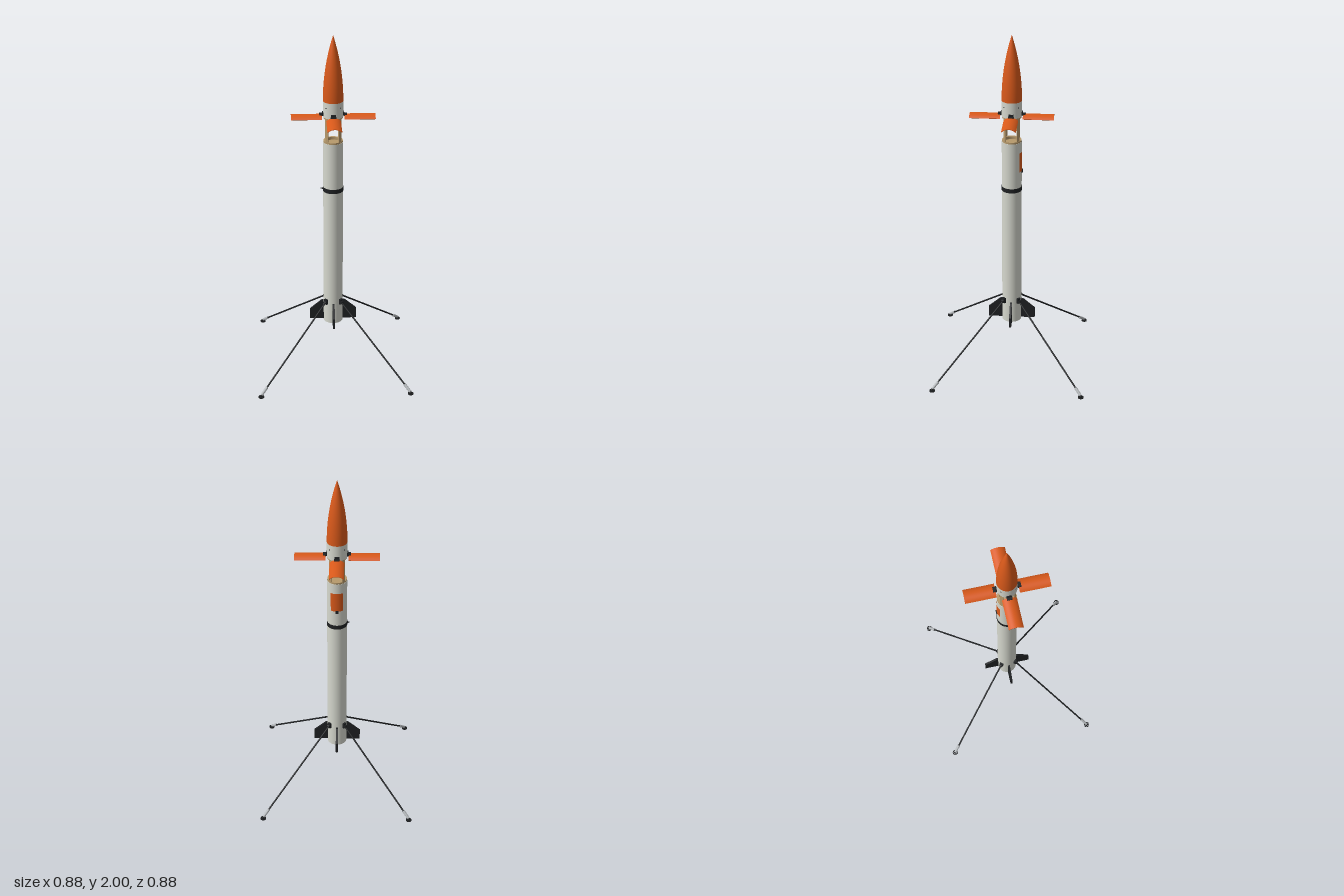
import * as THREE from 'three';

const paint = (color) => new THREE.MeshStandardMaterial({ color, side: THREE.DoubleSide });
const white = paint(0xd6d8ce);
const orange = paint(0xd9591a);
const dark = paint(0x1f2123);
const tan = paint(0xb79a6c);
const metal = paint(0xb4b8bb);
const R = 0.056; // body radius

export function createModel() {
  const rocket = new THREE.Group();
  rocket.name = 'rocket';

  const add = (parent, name, geometry, material, x = 0, y = 0, z = 0) => {
    const mesh = new THREE.Mesh(geometry, material);
    mesh.name = name;
    mesh.position.set(x, y, z);
    parent.add(mesh);
    return mesh;
  };
  // Hollow tube between two heights
  const tube = (name, inner, outer, y0, y1, material) => {
    const profile = [[inner, y0], [outer, y0], [outer, y1], [inner, y1], [inner, y0]];
    // Each straight run is its own lathe so that the rims stay sharp
    const group = new THREE.Group();
    group.name = name;
    for (let i = 0; i < 4; i++) {
      const run = [profile[i], profile[i + 1]].map(([r, y]) => new THREE.Vector2(r, y));
      add(group, name + 'Face', new THREE.LatheGeometry(run, 48), material);
    }
    rocket.add(group);
  };
  // Rod between two points
  const rod = (parent, name, a, b, r0, r1, material) => {
    const dir = b.clone().sub(a);
    const mesh = add(parent, name, new THREE.CylinderGeometry(r1, r0, dir.length(), 14), material);
    mesh.position.copy(a).addScaledVector(dir, 0.5);
    mesh.quaternion.setFromUnitVectors(new THREE.Vector3(0, 1, 0), dir.normalize());
  };
  // Four copies around the axis; the builder works along +x
  const around = (name, offset, build) => {
    for (let i = 0; i < 4; i++) {
      const group = new THREE.Group();
      group.name = name;
      group.rotation.y = offset + i * Math.PI / 2;
      build(group);
      rocket.add(group);
    }
  };

  // Body tube, band and end plates
  tube('bodyTube', R - 0.003, R, 0.26, 1.39, white);
  tube('band', R - 0.001, R + 0.0015, 1.095, 1.12, dark);
  add(rocket, 'tailPlate', new THREE.CylinderGeometry(R - 0.003, R - 0.003, 0.006, 48), dark, 0, 0.275);
  const nozzle = [[0.012, 0.285], [0.012, 0.277], [0.022, 0.262]].map(([r, y]) => new THREE.Vector2(r, y));
  add(rocket, 'nozzle', new THREE.LatheGeometry(nozzle, 32), metal);
  add(rocket, 'bodyBulkhead', new THREE.CylinderGeometry(R - 0.004, R - 0.004, 0.005, 48), tan, 0, 1.378);
  tube('lowerRing', 0.042, R - 0.002, 1.384, 1.4, tan);

  // Nose section: collar, ring and ogive
  tube('collar', R - 0.003, R, 1.54, 1.63, white);
  tube('upperRing', 0.03, R - 0.002, 1.532, 1.542, tan);
  add(rocket, 'noseBulkhead', new THREE.CylinderGeometry(R - 0.004, R - 0.004, 0.004, 48), tan, 0, 1.545);
  const ogive = [];
  const rho = (R * R + 0.37 * 0.37) / (2 * R);
  for (let i = 0; i <= 24; i++) {
    const h = 0.37 * i / 24;
    ogive.push(new THREE.Vector2(Math.max(0, Math.sqrt(rho * rho - h * h) + R - rho), 1.63 + h));
  }
  add(rocket, 'noseCone', new THREE.LatheGeometry(ogive, 48), orange);

  // Struts across the gap, with collar screws
  around('strutBay', Math.PI / 4, (g) => {
    add(g, 'strut', new THREE.BoxGeometry(0.004, 0.15, 0.018), tan, 0.051, 1.463, 0);
    const screw = add(g, 'screw', new THREE.CylinderGeometry(0.003, 0.003, 0.003, 10), dark, R, 1.6, 0);
    screw.rotation.z = Math.PI / 2;
  });

  // Curved petals folded out from the collar, with hinges
  const half = Math.asin(0.04 / R);
  const arc = new THREE.Shape();
  arc.absarc(0, 0, R, Math.PI / 2 - half, Math.PI / 2 + half, false);
  arc.absarc(0, 0, R - 0.003, Math.PI / 2 + half, Math.PI / 2 - half, true);
  const petalGeo = new THREE.ExtrudeGeometry(arc, { depth: 0.17, bevelEnabled: false, curveSegments: 20 });
  around('petal', 0, (g) => {
    add(g, 'petalPanel', petalGeo, orange, 0.062, 1.551 - R, 0).rotation.y = Math.PI / 2;
    add(g, 'hingePlate', new THREE.BoxGeometry(0.02, 0.004, 0.03), dark, 0.066, 1.553, 0);
    add(g, 'hingeBlock', new THREE.BoxGeometry(0.007, 0.02, 0.026), dark, R + 0.001, 1.556, 0);
    const pin = add(g, 'hingePin', new THREE.CylinderGeometry(0.004, 0.004, 0.032, 12), dark, 0.061, 1.55, 0);
    pin.rotation.x = Math.PI / 2;
    const bolt = add(g, 'ringBolt', new THREE.CylinderGeometry(0.003, 0.003, 0.003, 10), dark, R - 0.002, 1.388, 0);
    bolt.rotation.z = Math.PI / 2;
  });

  // Tail fins
  const finShape = new THREE.Shape([[0.053, 0.268], [0.136, 0.268], [0.136, 0.33], [0.066, 0.39], [0.053, 0.39]]
    .map(([x, y]) => new THREE.Vector2(x, y)));
  const finGeo = new THREE.ExtrudeGeometry(finShape, { depth: 0.012, bevelEnabled: false });
  around('fin', 0, (g) => add(g, 'finPlate', finGeo, dark, 0, 0, -0.006));

  // Foot: disc with a ring of holes
  const footShape = new THREE.Shape().absarc(0, 0, 0.016, 0, Math.PI * 2);
  for (let i = 0; i < 6; i++) {
    const a = i * Math.PI / 3;
    footShape.holes.push(new THREE.Path().absarc(0.0102 * Math.cos(a), 0.0102 * Math.sin(a), 0.0033, 0, Math.PI * 2, true));
  }
  const footGeo = new THREE.ExtrudeGeometry(footShape, { depth: 0.006, bevelEnabled: false, curveSegments: 20 });

  // Landing legs on the diagonals
  around('leg', Math.PI / 4, (g) => {
    const top = new THREE.Vector3(0.068, 0.392, 0);
    const end = new THREE.Vector3(0.6, 0.014, 0);
    const joint = top.clone().lerp(end, 0.92);
    rod(g, 'legRod', top, joint, 0.0048, 0.0048, dark);
    rod(g, 'legSleeve', joint, end, 0.0085, 0.0075, metal);
    add(g, 'bracket', new THREE.BoxGeometry(0.014, 0.032, 0.02), dark, 0.06, 0.398, 0);
    const pivot = add(g, 'pivot', new THREE.CylinderGeometry(0.008, 0.008, 0.016, 14), dark, 0.068, 0.395, 0);
    pivot.rotation.x = Math.PI / 2;
    add(g, 'foot', footGeo, dark, 0.602, 0, 0).rotation.set(-Math.PI / 2, 0, 0);
    add(g, 'ankle', new THREE.SphereGeometry(0.007, 14, 10), dark, 0.602, 0.01, 0);
  });

  // Hatch on the back with its latch
  const hatch = new THREE.CylinderGeometry(R + 0.0015, R + 0.0015, 0.115, 20, 1, true, Math.PI - 0.64, 1.28);
  add(rocket, 'hatch', hatch, orange, 0, 1.273, 0);
  add(rocket, 'hatchLatch', new THREE.BoxGeometry(0.018, 0.02, 0.008), dark, 0, 1.211, -R - 0.001);

  // Side knob on the band
  const knob = add(rocket, 'knob', new THREE.CylinderGeometry(0.002, 0.006, 0.016, 12), dark, -R - 0.007, 1.108, 0);
  knob.rotation.z = Math.PI / 2;

  return rocket;
}
